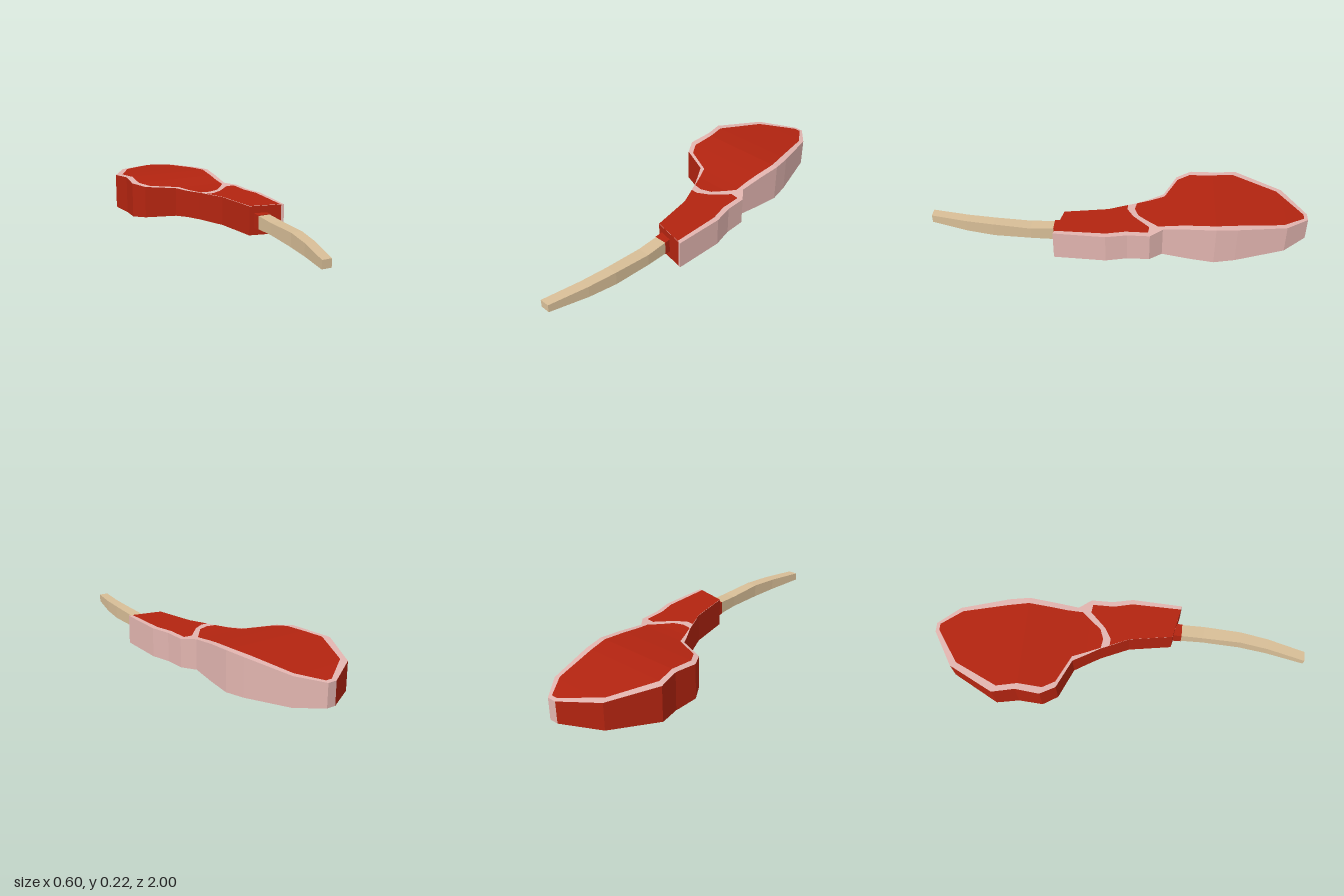
import * as THREE from 'three';

const MID = 0.107;
// [z, half thickness] of the slab
const PROFILE = [[-1, 0.06], [-0.88, 0.075], [-0.62, 0.1], [-0.51, 0.106], [-0.38, 0.097],
  [-0.24, 0.081], [-0.17, 0.076], [0.05, 0.078], [0.33, 0.078]];

// Outlines in (x, z), clockwise seen from above
const FAT_EDGE = [[0.02, -1], [0.07, -1], [0.165, -0.88], [0.23, -0.62], [0.247, -0.51], [0.225, -0.24],
  [0.277, -0.175], [0.277, -0.06], [0.3, 0.05], [0.287, 0.32], [0.272, 0.316]];
const MEAT_EDGE = [[0.272, 0.316], [0.104, 0.28], [0.067, 0.05], [0, -0.1], [-0.083, -0.24],
  [-0.24, -0.31], [-0.287, -0.39], [-0.275, -0.52], [-0.3, -0.64], [-0.17, -0.885], [0.02, -1]];
const OUTLINE = [...FAT_EDGE, ...MEAT_EDGE.slice(1, -1)];
const LOBE = [[0.03, -0.98], [0.065, -0.98], [0.145, -0.865], [0.195, -0.62], [0.215, -0.51], [0.2, -0.3],
  [0.2, -0.215], [0.11, -0.11], [0.055, -0.09], [0.005, -0.098], [-0.06, -0.245],
  [-0.21, -0.315], [-0.25, -0.38], [-0.243, -0.51], [-0.265, -0.62], [-0.15, -0.855]];
const TAIL = [[0.205, -0.17], [0.25, -0.165], [0.25, -0.05], [0.273, 0.05], [0.267, 0.315], [0.104, 0.28],
  [0.067, 0.05], [0.023, -0.052], [0.06, -0.05], [0.12, -0.085]];

function halfThickness(z) {
  for (let i = 1; i < PROFILE.length; i++) {
    const [z0, h0] = PROFILE[i - 1], [z1, h1] = PROFILE[i];
    if (z <= z1) return h0 + (h1 - h0) * (z - z0) / (z1 - z0);
  }
  return PROFILE.at(-1)[1];
}

function flatGeometry(positions) {
  const g = new THREE.BufferGeometry();
  g.setAttribute('position', new THREE.Float32BufferAttribute(positions, 3));
  g.computeVertexNormals();
  return g;
}

// Keep the part of a polygon where sign * (z - limit) >= 0
function clip(poly, limit, sign) {
  const out = [];
  poly.forEach((a, i) => {
    const b = poly[(i + 1) % poly.length];
    const da = sign * (a[1] - limit), db = sign * (b[1] - limit);
    if (da >= 0) out.push(a);
    if (da * db < 0) {
      const t = da / (da - db);
      out.push([a[0] + (b[0] - a[0]) * t, limit]);
    }
  });
  return out;
}

// Matching upper and lower faces, bent along the thickness profile
function caps(poly, lift) {
  const pos = [];
  for (let i = 1; i < PROFILE.length; i++) {
    const band = clip(clip(poly, PROFILE[i - 1][0], 1), PROFILE[i][0], -1);
    if (band.length < 3) continue;
    const pts = band.map(p => new THREE.Vector2(p[0], p[1]));
    for (const tri of THREE.ShapeUtils.triangulateShape(pts, [])) {
      const [a, b, c] = tri.map(k => pts[k]);
      const up = (b.y - a.y) * (c.x - a.x) - (b.x - a.x) * (c.y - a.y);
      if (Math.abs(up) < 1e-9) continue;
      const top = up > 0 ? [a, b, c] : [a, c, b];
      for (const p of top) pos.push(p.x, MID + halfThickness(p.y) + lift, p.y);
      for (const p of top.reverse()) pos.push(p.x, MID - halfThickness(p.y) - lift, p.y);
    }
  }
  return flatGeometry(pos);
}

// Upright rim along a path, split wherever the thickness profile bends
function wall(path) {
  const pos = [];
  for (let i = 1; i < path.length; i++) {
    const [ax, az] = path[i - 1], [bx, bz] = path[i];
    const cuts = PROFILE.map(p => (p[0] - az) / (bz - az)).filter(t => t > 0 && t < 1);
    const ts = [0, ...cuts.sort((s, t) => s - t), 1];
    for (let k = 1; k < ts.length; k++) {
      const [p, q] = [ts[k - 1], ts[k]].map(t => [ax + (bx - ax) * t, az + (bz - az) * t]);
      const hp = halfThickness(p[1]), hq = halfThickness(q[1]);
      const c = [[p[0], MID - hp, p[1]], [p[0], MID + hp, p[1]], [q[0], MID + hq, q[1]], [q[0], MID - hq, q[1]]];
      for (const n of [0, 1, 2, 0, 2, 3]) pos.push(...c[n]);
    }
  }
  return flatGeometry(pos);
}

// Four-sided bar through sections [z, left x, right x, low y, high y], z increasing
function bar(sections) {
  const rings = sections.map(([z, l, r, lo, hi]) => [[l, lo, z], [r, lo, z], [r, hi, z], [l, hi, z]]);
  const pos = [];
  const quad = (a, b, c, d) => [a, b, c, a, c, d].forEach(p => pos.push(...p));
  for (let i = 1; i < rings.length; i++) {
    for (let j = 0; j < 4; j++) {
      const k = (j + 1) % 4;
      quad(rings[i - 1][j], rings[i - 1][k], rings[i][k], rings[i][j]);
    }
  }
  quad(...rings.at(-1));
  quad(...[...rings[0]].reverse());
  return flatGeometry(pos);
}

export function createModel() {
  const model = new THREE.Group();
  model.name = 'steakOnBone';
  const material = (name, color) => {
    const m = new THREE.MeshStandardMaterial({ color });
    m.name = name;
    return m;
  };
  const meat = material('red meat', 0xb32410);
  const fat = material('pink fat', 0xe2b5b0);
  const boneColour = material('tan bone', 0xd8be97);
  const add = (name, geometry, mat) => {
    const mesh = new THREE.Mesh(geometry, mat);
    mesh.name = name;
    model.add(mesh);
  };

  // Slab: fat faces and rim, meat rim on the other side
  add('fatFaces', caps(OUTLINE, 0), fat);
  add('fatRim', wall(FAT_EDGE), fat);
  add('meatRim', wall(MEAT_EDGE), meat);

  // Meat areas set into the fat on both faces
  add('largeMeatFaces', caps(LOBE, 0.002), meat);
  add('smallMeatFaces', caps(TAIL, 0.002), meat);

  // Meat collar where the bone comes out
  add('boneCollar', bar([[0.27, 0.128, 0.197, 0.068, 0.148], [0.33, 0.128, 0.197, 0.07, 0.146]]), meat);

  // Curved, tapering bone
  add('bone', bar([
    [0.32, 0.13, 0.195, 0.072, 0.144],
    [0.45, 0.13, 0.197, 0.076, 0.138],
    [0.65, 0.122, 0.182, 0.072, 0.144],
    [0.8, 0.1, 0.157, 0.076, 0.139],
    [1, 0.055, 0.107, 0.086, 0.129],
  ]), boneColour);

  return model;
}
